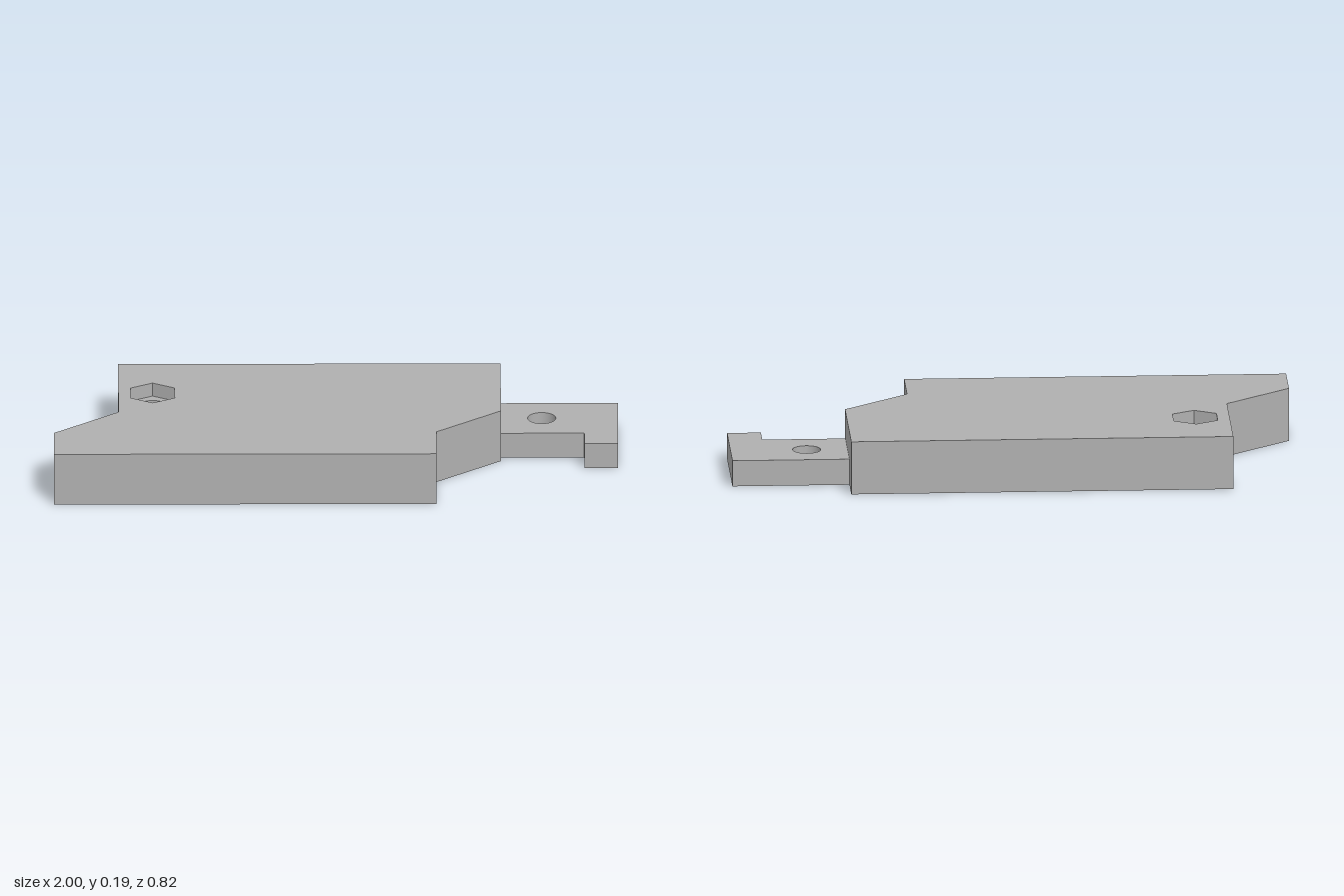
import * as THREE from 'three';
import { mergeGeometries, toCreasedNormals } from 'three/addons/utils/BufferGeometryUtils.js';

// Outlines are lists of [x, z] points.
const ring = (cx, cz, r, n) => Array.from({ length: n }, (_, i) => {
  const a = (i / n) * Math.PI * 2;
  return [cx + r * Math.sin(a), cz + r * Math.cos(a)];
});
const flat = (pts) => pts.map(([x, z]) => new THREE.Vector2(x, -z));

// Horizontal face at height y, facing up or down, with optional holes
function cap(pts, y, up, holes = []) {
  const shape = new THREE.Shape(flat(pts));
  holes.forEach((h) => shape.holes.push(new THREE.Path(flat(h))));
  const g = new THREE.ShapeGeometry(shape).rotateX(-Math.PI / 2).translate(0, y, 0);
  if (!up) g.index.array.reverse();
  return finish(g.toNonIndexed());
}

// Vertical wall along a closed outline; inward = true for holes
function wall(pts, y0, y1, inward = false) {
  const p = pts.slice();
  if (THREE.ShapeUtils.isClockWise(flat(p)) !== inward) p.reverse();
  const v = [];
  p.forEach(([ax, az], i) => {
    const [bx, bz] = p[(i + 1) % p.length];
    v.push(ax, y0, az, bx, y0, bz, bx, y1, bz, ax, y0, az, bx, y1, bz, ax, y1, az);
  });
  const g = new THREE.BufferGeometry();
  g.setAttribute('position', new THREE.Float32BufferAttribute(v, 3));
  return finish(g);
}

function finish(g) {
  g.deleteAttribute('uv');
  g.deleteAttribute('normal');
  return g;
}

export function createModel() {
  const group = new THREE.Group();
  const grey = new THREE.MeshStandardMaterial({ color: 0xb0b0b0 });
  grey.name = 'plainGrey';

  const add = (name, parts) => {
    const mesh = new THREE.Mesh(toCreasedNormals(mergeGeometries(parts), 0.5), grey);
    mesh.name = name;
    group.add(mesh);
  };

  // Body: slanted plate with a hooked socket cut into its underside
  const H = 0.193, step = 0.03, roof = 0.1, nutFloor = 0.143;
  const outline = [
    [-0.77, -0.413], [0.585, -0.413], [0.585, 0.018], [0.355, 0.208],
    [0.355, 0.407], [-1, 0.407], [-1, 0.213], [-0.77, 0.023],
  ];
  const socket = (zBack) => [
    [-0.77, -0.003], [-0.508, -0.003], [-0.508, 0.093],
    [-0.368, 0.093], [-0.368, zBack], [-0.77, zBack],
  ];
  const mouth = socket(-0.34), pocket = socket(-0.306);
  const lip = [[-0.77, -0.34], [-0.368, -0.34], [-0.368, -0.306], [-0.77, -0.306]];
  const bolt = ring(-0.648, -0.15, 0.05, 32);
  const nut = ring(-0.648, -0.15, 0.09, 6);
  add('body', [
    cap([...outline, ...mouth], 0, false),
    wall([...outline, ...mouth], 0, step),
    cap(lip, step, false),
    wall([...outline, ...pocket], step, roof),
    cap(pocket, roof, false, [bolt]),
    wall(outline, roof, H),
    wall(bolt, roof, nutFloor, true),
    cap(nut, nutFloor, true, [bolt]),
    wall(nut, nutFloor, H, true),
    cap(outline, H, true, [nut]),
  ]);

  // Tongue: hooked tab with a bolt hole, counterbored from below
  const T = 0.094, ledge = 0.047;
  const tab = [
    [0.585, -0.285], [1, -0.285], [1, 0.082], [0.88, 0.082], [0.88, -0.012], [0.585, -0.012],
  ];
  const hole = ring(0.73, -0.15, 0.05, 32);
  const bore = ring(0.73, -0.15, 0.082, 32);
  add('tongue', [
    cap(tab, 0, false, [bore]),
    wall(tab, 0, T),
    wall(bore, 0, ledge, true),
    cap(bore, ledge, false, [hole]),
    wall(hole, ledge, T, true),
    cap(tab, T, true, [hole]),
  ]);

  return group;
}
